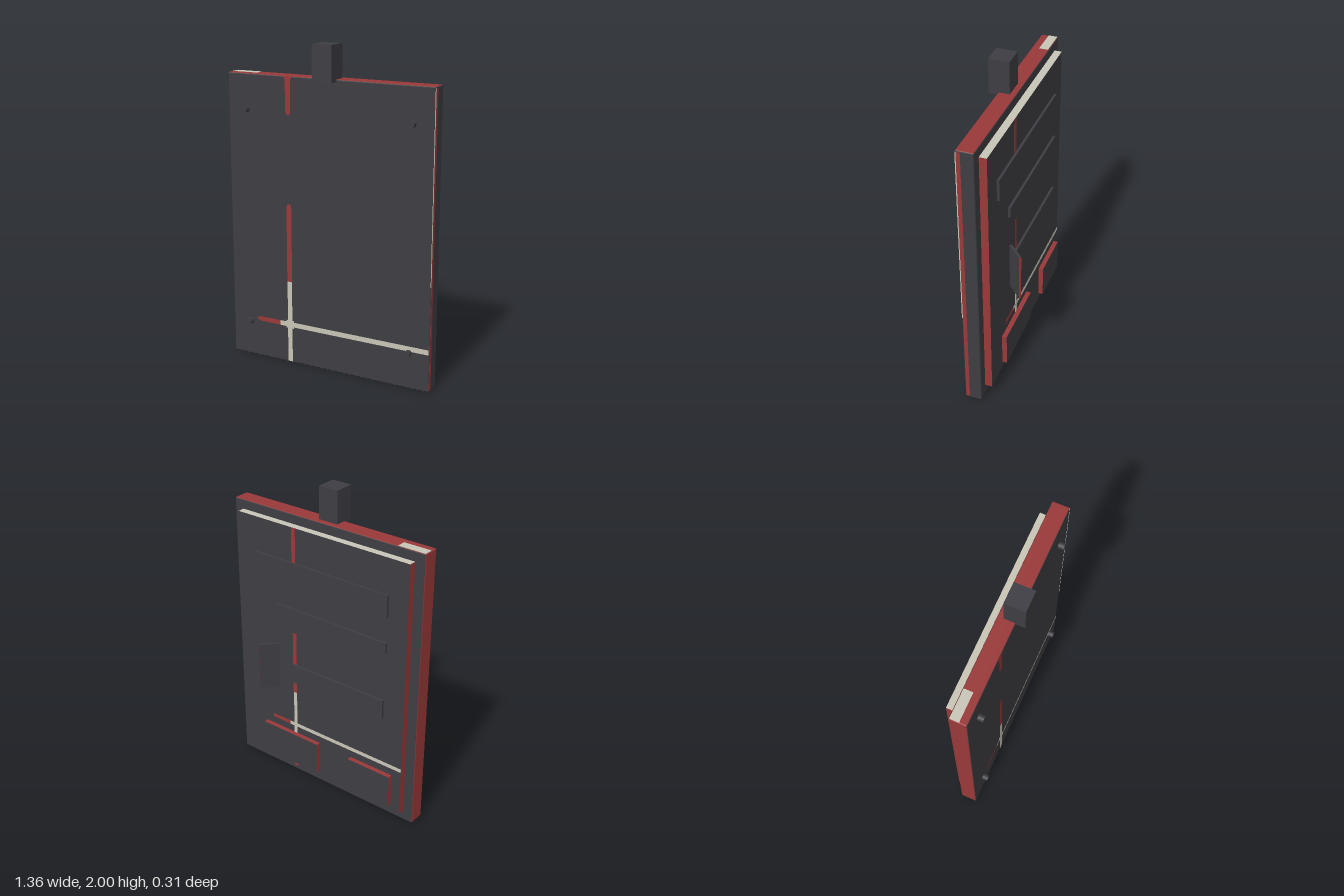
import * as THREE from 'three';
import { RoundedBoxGeometry } from 'three/addons/geometries/RoundedBoxGeometry.js';

export function createModel() {
  const group = new THREE.Group();
  const material = (name, color) => new THREE.MeshStandardMaterial({ name, color });
  const dark = material('charcoal', 0x3e3d43);
  const red = material('brick red', 0x993838);
  const cream = material('cream', 0xc8c5b6);

  const add = (name, geometry, mat) => {
    const mesh = new THREE.Mesh(geometry, mat);
    mesh.name = name;
    group.add(mesh);
    return mesh;
  };
  // Box from its limits; mat may be one material or six (+x, -x, +y, -y, +z, -z)
  const box = (name, mat, x0, x1, y0, y1, z0, z1, radius = 0) => {
    const size = [x1 - x0, y1 - y0, z1 - z0];
    const geometry = radius
      ? new RoundedBoxGeometry(...size, 2, radius)
      : new THREE.BoxGeometry(...size);
    const mesh = add(name, geometry, mat);
    mesh.position.set((x0 + x1) / 2, (y0 + y1) / 2, (z0 + z1) / 2);
    return mesh;
  };

  // Main board and raised back panel
  box('board', [dark, red, red, cream, dark, dark], -0.68, 0.68, 0, 1.8, -0.005, 0.1, 0.008);
  box('backPanel', [red, red, cream, red, dark, dark], -0.615, 0.615, 0.07, 1.74, -0.05, 0);

  // Painted edges of the board
  box('topPatch', cream, -0.676, -0.5, 1.798, 1.801, 0, 0.055);
  box('sideStripe', red, 0.678, 0.681, 0.01, 1.79, 0.07, 0.094);
  box('sideLine', cream, 0.678, 0.681, 0.65, 1.79, 0.094, 0.1);

  // Hanging block on top
  box('topBlock', dark, -0.065, 0.065, 1.785, 2, 0.03, 0.155);

  // Four round pegs on the front
  for (const x of [-0.55, 0.55]) {
    for (const y of [0.225, 1.585]) {
      const peg = add('frontPeg', new THREE.CylinderGeometry(0.02, 0.02, 0.045, 16), dark);
      peg.rotation.x = Math.PI / 2;
      peg.position.set(x, y, 0.1135);
    }
  }

  // Painted lines on the front, with narrowed ends on the red ones
  const stripe = (name, mat, length, width, tip0, tip1, x, y, vertical) => {
    const h = width / 2, s = new THREE.Shape();
    s.moveTo(0, -h * tip0);
    s.lineTo(0.02, -h);
    s.lineTo(length - 0.02, -h);
    s.lineTo(length, -h * tip1);
    s.lineTo(length, h * tip1);
    s.lineTo(length - 0.02, h);
    s.lineTo(0.02, h);
    s.lineTo(0, h * tip0);
    const mesh = add(name, new THREE.ShapeGeometry(s), mat);
    mesh.position.set(x, y, 0.1012);
    if (vertical) mesh.rotation.z = Math.PI / 2;
  };
  stripe('frontUpperLine', red, 0.23, 0.036, 0.5, 1.8, -0.262, 1.569, true);
  stripe('frontMiddleLine', red, 0.495, 0.034, 1, 0.5, -0.262, 0.53, true);
  stripe('frontLowerLine', cream, 0.527, 0.032, 1, 1, -0.262, 0.004, true);
  stripe('frontShortLine', red, 0.17, 0.03, 0.3, 1, -0.502, 0.25, false);
  stripe('frontLongLine', cream, 1.009, 0.032, 1, 1, -0.334, 0.25, false);
  box('frontCrossing', cream, -0.29, -0.234, 0.225, 0.276, 0.099, 0.1015);

  // Painted lines on the back panel
  const backLine = (name, mat, x0, x1, y0, y1) => box(name, mat, x0, x1, y0, y1, -0.0515, -0.049);
  backLine('backUpperLine', red, 0.18, 0.208, 1.51, 1.739);
  backLine('backMiddleLine', red, 0.18, 0.208, 0.63, 1.05);
  backLine('backLowerLine', cream, 0.182, 0.206, 0.32, 0.63);
  backLine('backBottomLine', red, 0.18, 0.208, 0.071, 0.12);
  backLine('backShortLine', red, 0.24, 0.38, 0.378, 0.402);
  backLine('backLongLine', cream, -0.614, 0.24, 0.378, 0.402);

  // Thin bars on the back
  box('upperBar', dark, -0.485, 0.485, 1.385, 1.52, -0.065, -0.045);
  box('middleBar', dark, -0.485, 0.32, 1.155, 1.22, -0.065, -0.045);
  box('lowerBar', dark, -0.475, 0.205, 0.71, 0.835, -0.065, -0.045);

  // Thicker plates near the bottom of the back
  const plateSides = [red, red, red, dark, red, dark];
  box('widePlate', plateSides, 0, 0.437, 0.115, 0.33, -0.08, -0.045);
  box('smallPlate', plateSides, -0.55, -0.242, 0.115, 0.33, -0.08, -0.045);

  // Flap standing out from the back at an angle
  const flap = add('flap', new THREE.BoxGeometry(0.128, 0.31, 0.015),
    [red, dark, dark, dark, dark, dark]);
  flap.position.set(0.354, 0.795, -0.107);
  flap.rotation.y = Math.PI / 4;

  return group;
}
